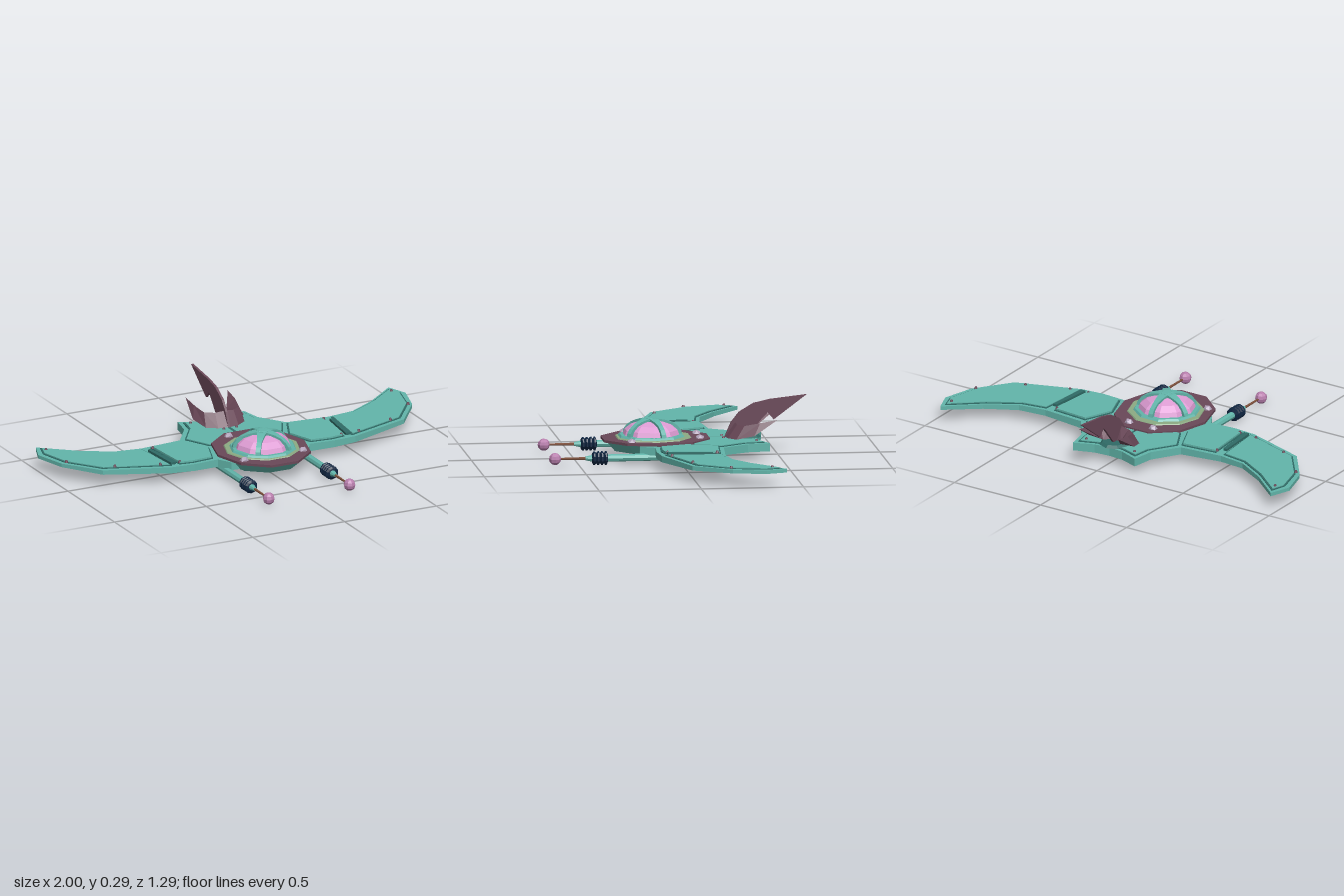
import * as THREE from 'three';

const mat = (name, color, side = THREE.FrontSide) =>
  Object.assign(new THREE.MeshStandardMaterial({ color, flatShading: true, side }), { name });
const teal = mat('teal', 0x62b5aa);
const darkTeal = mat('darkTeal', 0x2f6b66);
const plum = mat('plum', 0x6a4858, THREE.DoubleSide);
const sage = mat('sage', 0x8cab84);
const pink = mat('pink', 0xdc9bd2);
const mauve = mat('mauve', 0xb97fae);
const navy = mat('navy', 0x0e2541);
const brown = mat('brown', 0x7d4f3a);
const lilac = mat('lilac', 0xb3a3bb);

function add(parent, name, geometry, material, x = 0, y = 0, z = 0) {
  const mesh = new THREE.Mesh(geometry, material);
  mesh.name = name;
  mesh.position.set(x, y, z);
  parent.add(mesh);
  return mesh;
}

// Horizontal plate from an (x, z) outline, with its top face at the given height
function plate(points, side, top, depth) {
  const shape = new THREE.Shape(points.map(([x, z]) => new THREE.Vector2(x * side, z)));
  return new THREE.ExtrudeGeometry(shape, { depth, bevelEnabled: false })
    .rotateX(Math.PI / 2).translate(0, top, 0);
}

// Moves an outline inward by distance d
function inset(points, d) {
  const n = points.length;
  return points.map(([x, z], i) => {
    const p = new THREE.Vector2(x, z);
    const a = p.clone().sub(new THREE.Vector2(...points[(i + n - 1) % n])).normalize();
    const b = new THREE.Vector2(...points[(i + 1) % n]).sub(p).normalize();
    const m = new THREE.Vector2(-a.y - b.y, a.x + b.x).normalize();
    const k = d / Math.max(0.4, m.dot(new THREE.Vector2(-a.y, a.x)));
    return [x + m.x * k, z + m.y * k];
  });
}

const hullOutline = [[0, -.39], [.08, -.40], [.18, -.44], [.2, -.33], [.29, -.2], [.51, -.18], [.65, -.2],
  [.8, -.29], [.96, -.425], [1, -.32], [.955, -.16], [.82, .02], [.5, .13], [.38, .14], [.25, .13], [.21, .2], [0, .2]];
const panels = {
  innerPanel: [[.28, -.18], [.47, -.163], [.45, .11], [.38, .12], [.265, .11], [.215, -.03]],
  outerPanel: [[.515, -.163], [.645, -.183], [.795, -.272], [.95, -.4], [.975, -.32], [.935, -.165], [.81, 0], [.49, .112]],
  tailPanel: [[0, -.37], [.08, -.385], [.165, -.415], [.18, -.32], [.268, -.19], [.2, -.06], [0, -.06]],
};
const studs = [[.94, -.355], [.93, -.155], [.75, .01], [.54, .085], [.465, -.145], [.44, .095], [.035, -.23], [.14, -.38]];

// Half of the hull with one wing, tapering thinner towards the tip
function wing(side) {
  const g = new THREE.Group();
  g.name = side > 0 ? 'leftWing' : 'rightWing';
  const top = 0.092;
  const slab = plate(hullOutline, side, top, 0.04);
  const p = slab.attributes.position;
  for (let i = 0; i < p.count; i++)
    if (p.getY(i) < top - 0.01) p.setY(i, 0.047 + 0.028 * Math.abs(p.getX(i)));
  add(g, 'wingSlab', slab, teal);
  for (const [name, outline] of Object.entries(panels)) {
    add(g, name + 'Seam', plate(outline, side, top + 0.003, 0.004), darkTeal);
    add(g, name, plate(inset(outline, 0.008), side, top + (name === 'innerPanel' ? 0.011 : 0.007), 0.008), teal);
  }
  // Hinge strip between the two wing panels
  add(g, 'hingeStrip', plate([[.485, -.12], [.505, -.12], [.49, .1], [.462, .1]], side, top + 0.013, 0.012), darkTeal);
  for (const [x, z] of studs)
    add(g, 'stud', new THREE.CylinderGeometry(0.005, 0.009, 0.012, 6), plum, x * side, top + 0.009, z);
  return g;
}

// Round ten-sided cockpit deck
function cockpit() {
  const g = new THREE.Group();
  g.name = 'cockpit';
  const ring = (name, r0, r1, h, y, z, m, stretch = 1) => {
    const geo = new THREE.CylinderGeometry(r0, r1, h, 10).rotateY(Math.PI / 10).scale(1, 1, stretch);
    return add(g, name, geo, m, 0, y, z);
  };
  ring('lowerHull', .225, .19, .045, .071, .1, teal, 1.13);
  ring('deck', .235, .235, .012, .1, .1, plum, 1.16);
  ring('deckInlay', .186, .19, .006, .108, .11, sage);
  ring('domeCollar', .158, .168, .014, .114, .12, teal);

  // Glass dome
  const R = 0.142, H = 0.075, cy = 0.115, cz = 0.12;
  const dome = new THREE.SphereGeometry(1, 10, 4, 0, Math.PI * 2, 0, Math.PI / 2).scale(R, H, R);
  add(g, 'dome', dome, pink, 0, cy, cz);

  // Five curved ribs meeting as a star on the dome
  for (let k = 0; k < 5; k++) {
    const rib = new THREE.BoxGeometry(1, 1, 1, 1, 1, 6);
    const p = rib.attributes.position;
    for (let i = 0; i < p.count; i++) {
      const t = p.getZ(i) + 0.5, a = t * Math.PI / 2;
      const lift = p.getY(i) > 0 ? 0.01 : -0.01;
      const width = 0.024 + 0.03 * Math.max(0, 1 - t * 2.2);
      p.setXYZ(i, p.getX(i) * width, Math.cos(a) * (H + lift), Math.sin(a) * (R + lift));
    }
    add(g, 'domeRib', rib, teal, 0, cy, cz).rotation.y = Math.PI + k * Math.PI * 2 / 5;
  }
  add(g, 'domeCap', new THREE.CylinderGeometry(.026, .042, .008, 5), teal, 0, cy + H + .007, cz);

  // Deck bolts
  for (const s of [-1, 1]) for (const [x, z] of [[.07, -.11], [.16, .235]])
    add(g, 'deckBolt', new THREE.IcosahedronGeometry(0.023, 0), lilac, x * s, .104, z);
  return g;
}

// Forward cannon, built along +z
function cannon(side) {
  const g = new THREE.Group();
  g.name = side > 0 ? 'leftCannon' : 'rightCannon';
  g.position.set(0.22 * side, 0.042, 0);
  const rod = (name, front, back, z0, z1, m, n = 8) =>
    add(g, name, new THREE.CylinderGeometry(front, back, z1 - z0, n).rotateX(Math.PI / 2), m, 0, 0, (z0 + z1) / 2);
  rod('barrel', .018, .018, .04, .43, teal);
  rod('barrelTip', .009, .018, .43, .47, teal);
  rod('rod', .005, .007, .46, .6, brown, 6);
  const profile = [[.018, 0]];
  for (let i = 0; i < 4; i++) profile.push([.034, i * .019 + .006], [.034, i * .019 + .013], [.024, i * .019 + .019]);
  profile.push([.016, .078]);
  const coil = new THREE.LatheGeometry(profile.map(q => new THREE.Vector2(...q)), 10).rotateX(Math.PI / 2);
  add(g, 'coil', coil, navy, 0, 0, .36);
  add(g, 'energyBall', new THREE.SphereGeometry(.03, 8, 6), mauve, 0, 0, .618);
  return g;
}

// Upright tail fin and the two curved horns around it
function tail() {
  const g = new THREE.Group();
  g.name = 'tail';
  const fin = [[.24, .1], [.27, .17], [.31, .22], [.38, .262], [.46, .28], [.64, .3], [.56, .24], [.48, .18],
    [.45, .215], [.425, .19], [.36, .11]];
  const shape = new THREE.Shape(fin.map(q => new THREE.Vector2(...q)));
  const geo = new THREE.ExtrudeGeometry(shape, { depth: .012, bevelEnabled: false })
    .translate(0, 0, -.006).rotateY(Math.PI / 2);
  // Turned so the profile runs towards the back
  add(g, 'tailFin', geo, plum);

  // Horn sections from the middle out: outer foot, ridge, inner foot
  const sections = [
    [[0, .1, -.24], [0, .17, -.29], [0, .11, -.33]],
    [[.055, .1, -.25], [.05, .165, -.295], [.03, .11, -.34]],
    [[.105, .1, -.285], [.095, .165, -.325], [.05, .115, -.37]],
    [[.132, .12, -.37], [.112, .18, -.4], [.065, .135, -.4]],
    [[.115, .195, -.485], [.115, .195, -.485], [.115, .195, -.485]],
  ];
  for (const s of [-1, 1]) {
    const v = [];
    const put = (...q) => q.forEach(([x, y, z]) => v.push(x * s, y, z));
    for (let i = 0; i < 4; i++) for (let j = 0; j < 3; j++) {
      const k = (j + 1) % 3, A = sections[i], B = sections[i + 1];
      const quad = [A[j], B[j], B[k], A[j], B[k], A[k]];
      put(...(s > 0 ? quad : quad.reverse()));
    }
    const horn = new THREE.BufferGeometry();
    horn.setAttribute('position', new THREE.Float32BufferAttribute(v, 3));
    horn.computeVertexNormals();
    add(g, s > 0 ? 'leftHorn' : 'rightHorn', horn, plum);
  }
  // Dark socket behind the fin
  add(g, 'tailSocket', new THREE.CylinderGeometry(.06, .075, .012, 8), darkTeal, 0, .104, -.345);
  return g;
}

export function createModel() {
  const model = new THREE.Group();
  model.name = 'glider';
  model.add(wing(1), wing(-1), cockpit(), cannon(1), cannon(-1), tail());
  return model;
}
